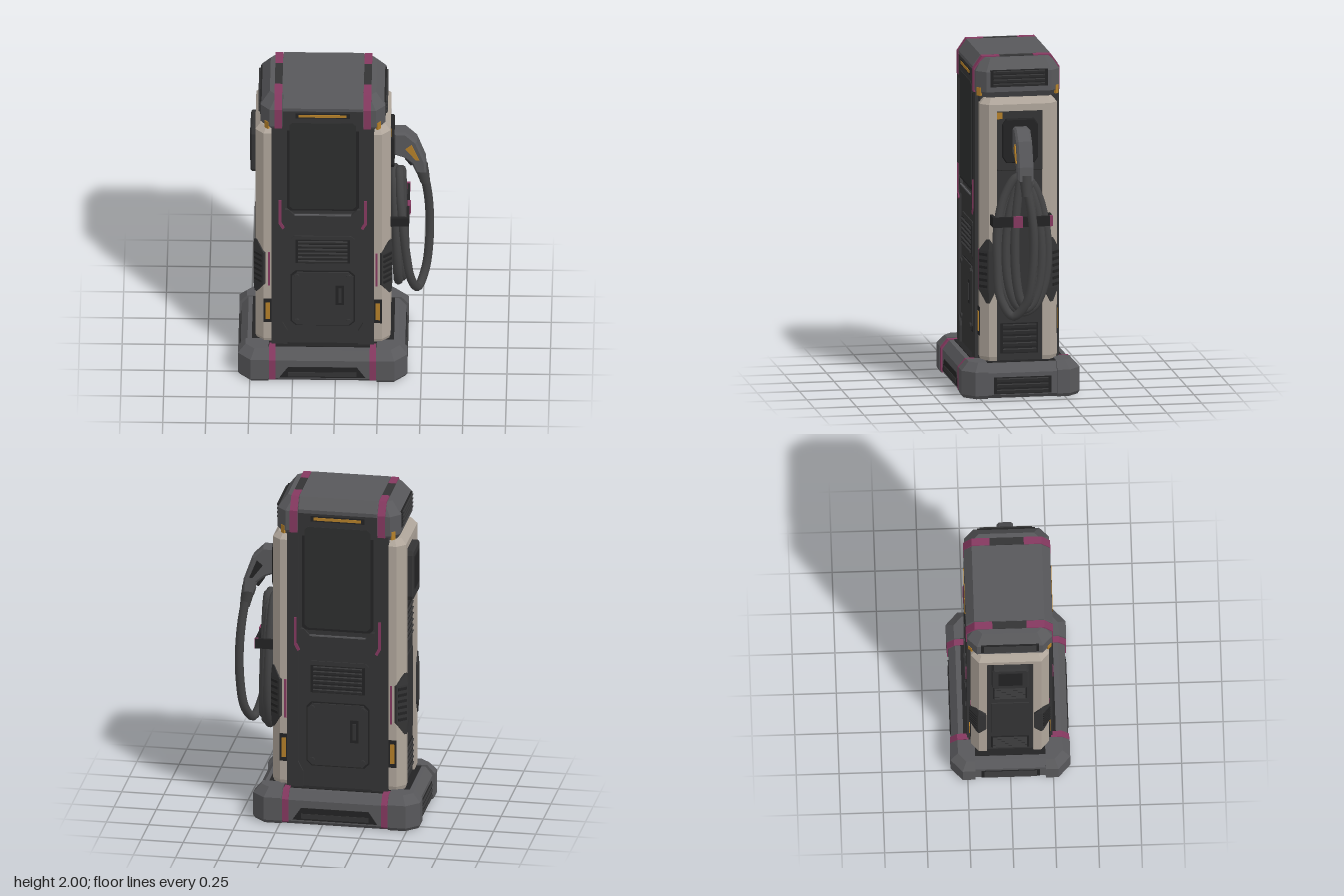
import * as THREE from 'three';

const mat = (name, color) => Object.assign(new THREE.MeshStandardMaterial({ color, flatShading: true }), { name });

export function createModel() {
  const armor = mat('armor grey', 0x58585b), dark = mat('dark panel', 0x343435), black = mat('recess black', 0x232324);
  const cream = mat('cream shell', 0xb0a69b), magenta = mat('magenta trim', 0x853960), amber = mat('amber light', 0xb58029);
  const glass = mat('screen glass', 0x2d2e2e);
  const rubber = mat('hose rubber', 0x434344);
  rubber.flatShading = false;

  const root = new THREE.Group();
  root.name = 'chargingStation';
  const body = new THREE.Group();
  body.name = 'cabinet';
  body.position.x = -0.075;
  root.add(body);

  const add = (parent, name, geo, m, x = 0, y = 0, z = 0) => {
    const mesh = new THREE.Mesh(geo, m);
    mesh.name = name;
    mesh.position.set(x, y, z);
    parent.add(mesh);
    return mesh;
  };
  const box = (parent, name, m, w, h, d, x, y, z) => add(parent, name, new THREE.BoxGeometry(w, h, d), m, x, y, z);
  const shape = pts => new THREE.Shape(pts.map(p => new THREE.Vector2(p[0], p[1])));
  const plate = (pts, depth, bevel = 0) => new THREE.ExtrudeGeometry(shape(pts), {
    depth, bevelEnabled: bevel > 0, bevelSize: bevel, bevelThickness: bevel, bevelSegments: 1 });

  // Convex [x, z] outlines stacked at rising heights, flat faced
  const loft = levels => {
    const area = levels[0][1].reduce((s, p, i, a) => {
      const q = a[(i + 1) % a.length];
      return s + p[0] * q[1] - q[0] * p[1];
    }, 0);
    const rings = levels.map(([y, pts]) => (area > 0 ? [...pts].reverse() : pts).map(([x, z]) => [x, y, z]));
    const pos = [], tri = (...v) => v.forEach(p => pos.push(...p));
    const n = rings[0].length, top = rings[rings.length - 1], low = rings[0];
    for (let k = 0; k + 1 < rings.length; k++) for (let i = 0; i < n; i++) {
      const j = (i + 1) % n, a = rings[k], b = rings[k + 1];
      tri(a[i], a[j], b[j]);
      tri(a[i], b[j], b[i]);
    }
    for (let i = 1; i + 1 < n; i++) {
      tri(top[0], top[i], top[i + 1]);
      tri(low[0], low[i + 1], low[i]);
    }
    const g = new THREE.BufferGeometry();
    g.setAttribute('position', new THREE.Float32BufferAttribute(pos, 3));
    g.computeVertexNormals();
    return g;
  };
  const oct = (x, z, c) => [[x, z - c], [x - c, z], [c - x, z], [-x, z - c], [-x, c - z], [c - x, -z], [x - c, -z], [x, c - z]];
  const corners = fn => { for (const sx of [1, -1]) for (const sz of [1, -1]) fn(sx, sz); };
  const flip = (pts, sx, sz) => pts.map(([x, z]) => [x * sx, z * sz]);

  // Louvred grille facing +z
  const vent = (parent, w, h, n, x, y, z) => {
    const g = new THREE.Group();
    g.name = 'vent';
    g.position.set(x, y, z);
    parent.add(g);
    box(g, 'ventRecess', black, w, h, 0.01, 0, 0, 0);
    for (let i = 0; i < n; i++) {
      const s = box(g, 'louvre', dark, w * 0.9, h / n * 0.55, 0.014, 0, h * ((i + 0.5) / n - 0.5), 0.006);
      s.rotation.x = 0.35;
    }
  };

  // Plinth with corner guards and bands
  add(body, 'plinth', loft([[0, oct(0.465, 0.325, 0.06)], [0.02, oct(0.48, 0.34, 0.07)],
    [0.15, oct(0.48, 0.34, 0.07)], [0.2, oct(0.44, 0.3, 0.06)]]), armor);
  add(body, 'plinthGap', loft([[0.19, oct(0.415, 0.27, 0.05)], [0.205, oct(0.415, 0.27, 0.05)]]), black);
  corners((sx, sz) => {
    const foot = d => flip([[0.315, 0.205], [0.495 - d, 0.205], [0.495 - d, 0.28 - d / 2], [0.42 - d / 2, 0.35 - d], [0.315, 0.35 - d]], sx, sz);
    add(body, 'cornerGuard', loft([[0, foot(0.012)], [0.02, foot(0)], [0.16, foot(0)], [0.21, foot(0.045)]]), armor);
    const strip = d => flip([[0.275, 0.24], [0.312, 0.24], [0.312, 0.348 - d], [0.275, 0.348 - d]], sx, sz);
    add(body, 'plinthBand', loft([[0.01, strip(0.008)], [0.02, strip(0)], [0.155, strip(0)], [0.206, strip(0.042)]]), magenta);
  });

  // Core cabinet
  add(body, 'core', loft([[0.19, oct(0.3, 0.235, 0.015)], [1.8, oct(0.3, 0.235, 0.015)]]), dark);
  add(body, 'sideCore', loft([[0.19, oct(0.375, 0.215, 0.05)], [1.74, oct(0.375, 0.215, 0.05)]]), dark);

  // Cream side shells, grips and marker lights
  corners((sx, sz) => {
    const leg = d => flip([[0.28, 0.228 - d], [0.345 - d / 2, 0.228 - d], [0.395 - d, 0.182 - d / 2], [0.395 - d, 0.135], [0.28, 0.135]], sx, sz);
    add(body, 'shellLeg', loft([[0.2, leg(0.01)], [0.23, leg(0)], [1.73, leg(0)], [1.765, leg(0.03)]]), cream);
    const grip = t => flip([[0.385 - 0.055 * t, 0.192 + 0.033 * t], [0.387 - 0.04 * t, 0.198 + 0.04 * t],
      [0.4 + 0.006 * t, 0.184 + 0.003 * t], [0.4 + 0.006 * t, 0.18 - 0.04 * t], [0.37, 0.17 - 0.03 * t]], sx, sz);
    add(body, 'cornerGrip', loft([[0.55, grip(0)], [0.63, grip(1)], [0.86, grip(1)], [0.93, grip(0)]]), dark);
    for (let i = 0; i < 6; i++) {
      const r = box(body, 'gripRib', black, 0.06, 0.016, 0.012, sx * 0.377, 0.65 + i * 0.038, sz * 0.213);
      r.rotation.y = sx * sz * 0.72;
    }
    box(body, 'gripTrim', magenta, 0.012, 0.24, 0.008, sx * 0.313, 0.74, sz * 0.229);
    box(body, 'markerFrame', black, 0.048, 0.17, 0.008, sx * 0.322, 0.435, sz * 0.229);
    box(body, 'markerLight', amber, 0.026, 0.12, 0.008, sx * 0.322, 0.435, sz * 0.233);
    const lamp = box(body, 'capLamp', amber, 0.028, 0.05, 0.014, sx * 0.325, 1.8, sz * 0.228);
    lamp.rotation.y = sx * sz * Math.PI / 4;
  });
  for (const s of [1, -1]) {
    const bar = add(body, 'shellTop', plate([[0.28, 1.69], [0.395, 1.69], [0.395, 1.73], [0.365, 1.765], [0.28, 1.765]]
      .map(([x, y]) => [x * s, y]), 0.28), cream);
    bar.position.z = -0.14;
  }

  // Top cap with centre hood and wrap bands
  add(body, 'cap', loft([[1.765, oct(0.34, 0.225, 0.045)], [1.8, oct(0.365, 0.248, 0.055)],
    [1.92, oct(0.365, 0.248, 0.055)], [1.994, oct(0.31, 0.2, 0.04)]]), armor);
  add(body, 'capHood', loft([[1.91, oct(0.235, 0.25, 0.004)], [1.935, oct(0.235, 0.253, 0.004)], [2, oct(0.235, 0.205, 0.004)]]), armor);
  for (const sx of [1, -1]) {
    for (const sz of [1, -1]) {
      const band = plate([[0.1, 2], [0.204, 2], [0.255, 1.925], [0.255, 1.79], [0.235, 1.78], [0.235, 1.9], [0.19, 1.98], [0.1, 1.98]]
        .map(([z, y]) => [-z * sz, y]), 0.045);
      band.rotateY(Math.PI / 2);
      add(body, 'capBand', band, magenta, sx * 0.26 - 0.0225);
    }
    box(body, 'capBandBridge', dark, 0.045, 0.02, 0.2, sx * 0.26, 1.988, 0);
  }

  // Front and rear faces share one layout
  for (const turn of [0, Math.PI]) {
    const f = new THREE.Group();
    f.name = turn ? 'rearFace' : 'frontFace';
    f.rotation.y = turn;
    body.add(f);
    box(f, 'headPanel', dark, 0.47, 0.14, 0.01, 0, 1.842, 0.246);
    box(f, 'lightSlot', black, 0.32, 0.034, 0.006, 0, 1.882, 0.251);
    box(f, 'lightBar', amber, 0.28, 0.018, 0.008, 0, 1.882, 0.253);
    const screen = (w, h, c) => [[-w + c, -h], [w - c, -h], [w, c - h], [w, h - c], [w - c, h], [c - w, h], [-w, h - c], [-w, c - h]];
    add(f, 'screenFrame', plate(screen(0.21, 0.33, 0.02), 0.015), black, 0, 1.515, 0.234);
    add(f, 'screenGlass', plate(screen(0.195, 0.315, 0.02), 0.006), glass, 0, 1.515, 0.248);
    add(f, 'midRidge', plate([[-0.22, 1.19], [-0.22, 1.16], [-0.18, 1.1], [0.18, 1.1], [0.22, 1.16], [0.22, 1.19],
      [0.2, 1.19], [0.17, 1.155], [-0.17, 1.155], [-0.2, 1.19]], 0.016), dark, 0, 0, 0.236);
    box(f, 'ridgeEdge', armor, 0.33, 0.008, 0.008, 0, 1.152, 0.25);
    add(f, 'ventFrame', plate(screen(0.185, 0.11, 0.02), 0.006), dark, 0, 0.88, 0.236);
    vent(f, 0.32, 0.17, 6, 0, 0.88, 0.241);
    add(f, 'hatchSeam', plate(screen(0.187, 0.2, 0.03), 0.005), black, 0, 0.535, 0.234);
    add(f, 'hatch', plate(screen(0.179, 0.192, 0.03), 0.01), dark, 0, 0.535, 0.236);
    box(f, 'hatchPull', black, 0.05, 0.14, 0.008, 0.1, 0.565, 0.246);
    box(f, 'pullGrip', dark, 0.018, 0.1, 0.01, 0.1, 0.565, 0.251);
    for (const x of [-0.15, 0.15]) for (const y of [0.375, 0.7]) {
      add(f, 'hatchBolt', new THREE.CylinderGeometry(0.015, 0.015, 0.012, 8).rotateX(Math.PI / 2), dark, x, y, 0.249);
    }
    for (const s of [1, -1]) {
      const m = pts => pts.map(([x, y]) => [x * s, y]);
      add(f, 'column', plate(m([[0.235, 0.36], [0.205, 0.3], [0.205, 0.2], [0.3, 0.2], [0.3, 1.79], [0.235, 1.79]]), 0.018), dark, 0, 0, 0.232);
      add(f, 'columnTrim', plate(m([[0.242, 1.26], [0.242, 1.1], [0.222, 1.06], [0.236, 1.05], [0.258, 1.09], [0.258, 1.26]]), 0.008), magenta, 0, 0, 0.248);
    }
    add(f, 'plinthTray', plate([[-0.25, 0.03], [0.25, 0.03], [0.2, 0.105], [-0.2, 0.105]], 0.008), black, 0, 0, 0.336);
    box(f, 'plinthTrayBar', dark, 0.4, 0.03, 0.012, 0, 0.055, 0.341);
  }

  // Side faces
  for (const s of [1, -1]) {
    const f = new THREE.Group();
    f.name = s > 0 ? 'hoseSide' : 'meterSide';
    f.rotation.y = s * Math.PI / 2;
    body.add(f);
    vent(f, 0.34, 0.1, 4, 0, 1.88, 0.363);
    vent(f, 0.34, 0.1, 3, 0, 0.075, 0.479);
    vent(f, 0.22, 0.18, 5, 0, 0.335, 0.376);
    if (s > 0) {
      add(f, 'holsterPlate', plate([[-0.13, 1.34], [0.13, 1.34], [0.14, 1.36], [0.14, 1.68], [0.12, 1.7], [-0.12, 1.7], [-0.14, 1.68], [-0.14, 1.36]], 0.012, 0.004), dark, 0, 0, 0.377);
      add(f, 'holster', plate([[-0.08, 1.39], [0.08, 1.39], [0.1, 1.42], [0.1, 1.61], [0.08, 1.64], [-0.08, 1.64], [-0.1, 1.61], [-0.1, 1.42]], 0.02, 0.006), black, 0, 0, 0.39);
      box(f, 'statusLight', amber, 0.03, 0.04, 0.008, -0.12, 1.665, 0.394);
    } else {
      add(f, 'meterBox', plate([[-0.09, 1.36], [0.09, 1.36], [0.1, 1.38], [0.1, 1.63], [0.09, 1.65], [-0.09, 1.65], [-0.1, 1.63], [-0.1, 1.38]], 0.04, 0.008), dark, 0, 0, 0.375);
      box(f, 'meterScreen', black, 0.14, 0.2, 0.006, 0, 1.515, 0.424);
      vent(f, 0.2, 0.22, 6, 0, 1.18, 0.376);
      box(f, 'servicePanel', dark, 0.22, 0.5, 0.01, 0, 0.74, 0.376);
    }
  }

  // Charging handle
  const handle = plate([[0.345, 1.59], [0.4, 1.59], [0.46, 1.53], [0.51, 1.39], [0.515, 1.32], [0.475, 1.32], [0.45, 1.385], [0.4, 1.43], [0.345, 1.45]], 0.07, 0.012);
  add(root, 'handle', handle, armor, 0, 0, -0.035);
  for (const s of [1, -1]) {
    add(root, 'handleAccent', plate([[0.405, 1.49], [0.44, 1.52], [0.485, 1.41], [0.465, 1.41]], 0.008), s > 0 ? amber : black, 0, 0, s > 0 ? 0.045 : -0.053);
  }
  box(root, 'trigger', black, 0.03, 0.06, 0.04, 0.43, 1.38, 0).rotation.z = 0.6;
  for (const [r, x, y] of [[0.042, 0.497, 1.315], [0.037, 0.507, 1.275], [0.033, 0.514, 1.24]]) {
    add(root, 'strainRelief', new THREE.CylinderGeometry(r, r * 0.9, 0.045, 14), rubber, x, y, -0.005).rotation.z = 0.2;
  }

  // Hanging hose and coiled loops
  const tube = (name, pts, r, closed) => add(root, name, new THREE.TubeGeometry(
    new THREE.CatmullRomCurve3(pts.map(p => new THREE.Vector3(...p)), closed), 90, r, 10, closed), rubber);
  tube('hose', [[0.495, 1.32, 0], [0.522, 1.2, -0.02], [0.542, 1, -0.042], [0.543, 0.78, -0.035], [0.52, 0.58, 0], [0.48, 0.5, 0.07],
    [0.44, 0.6, 0.135], [0.41, 0.8, 0.15], [0.39, 1.02, 0.145], [0.375, 1.2, 0.1], [0.37, 1.31, 0.02], [0.36, 1.25, -0.06]], 0.026, false);
  for (const [x, a, top, low] of [[0.352, 0.145, 1.3, 0.5], [0.375, 0.105, 1.26, 0.52], [0.392, 0.055, 1.3, 0.55]]) {
    const pts = Array.from({ length: 16 }, (_, i) => {
      const t = i / 16 * Math.PI * 2;
      return [x - 0.012 * Math.cos(t), (top + low) / 2 + (top - low) / 2 * Math.cos(t), a * Math.sin(t) * (1 - 0.12 * Math.cos(t)) - 0.012];
    });
    tube('hoseLoop', pts, 0.027, true);
  }
  add(root, 'coilHook', new THREE.CylinderGeometry(0.045, 0.045, 0.1, 12).rotateZ(Math.PI / 2), dark, 0.345, 1.22, 0);

  // Strap holding the coil
  box(root, 'strap', black, 0.016, 0.06, 0.34, 0.42, 1.05, 0);
  for (const s of [1, -1]) box(root, 'strapArm', black, 0.13, 0.06, 0.016, 0.363, 1.05, s * 0.17);
  box(root, 'strapBuckle', magenta, 0.02, 0.066, 0.055, 0.425, 1.05, 0.03);
  box(root, 'strapTip', magenta, 0.02, 0.062, 0.016, 0.42, 1.05, -0.168);
  return root;
}
